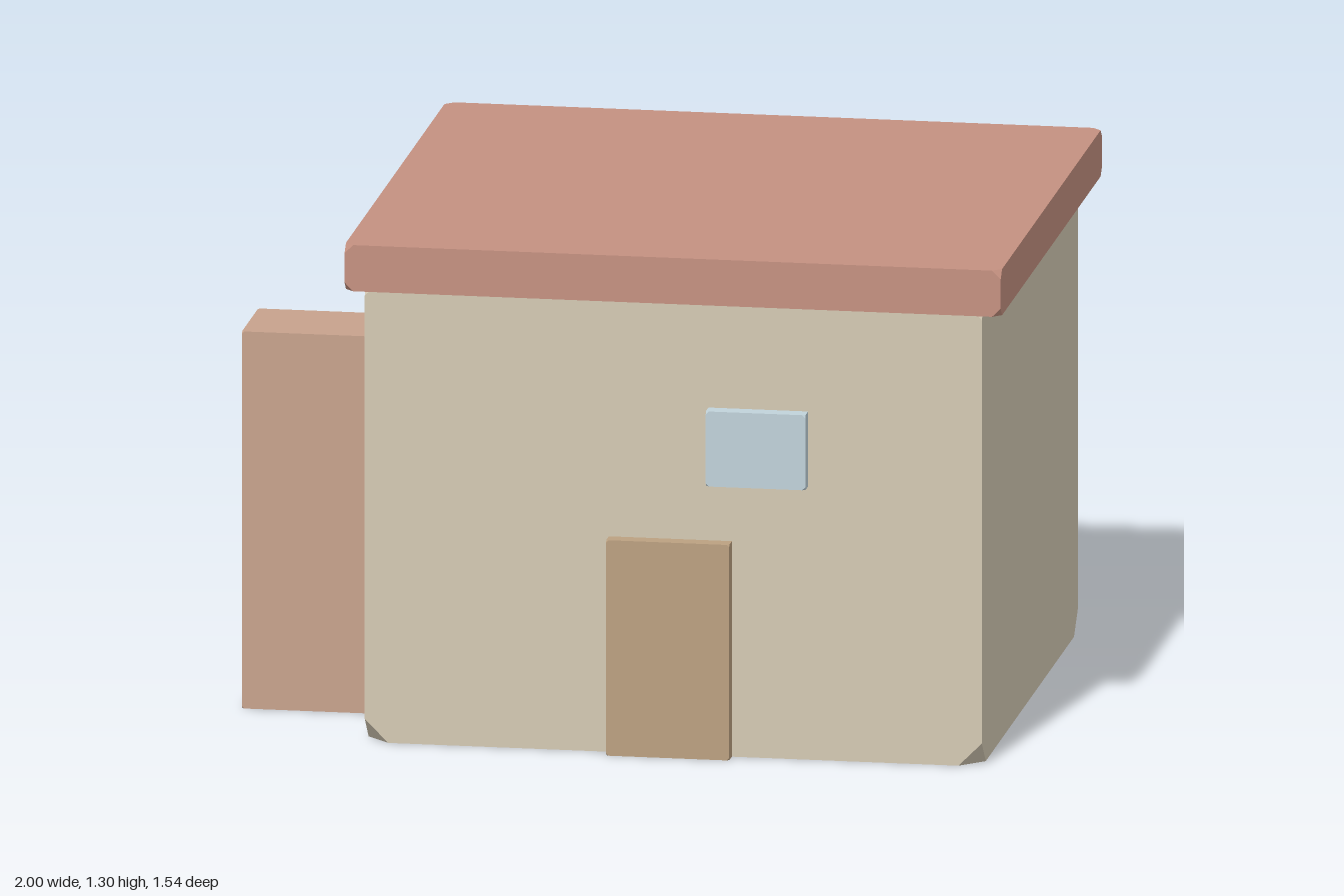
import * as THREE from 'three';
import { ConvexGeometry } from 'three/addons/geometries/ConvexGeometry.js';

// Box between two corners with each of its eight vertices cut off by c
function clippedBox(min, max, c) {
  const points = [];
  for (let i = 0; i < 8; i++) {
    const side = [i & 1, (i >> 1) & 1, (i >> 2) & 1];
    const corner = side.map((s, a) => (s ? max[a] : min[a]));
    for (let a = 0; a < 3; a++) {
      const p = [...corner];
      p[a] += side[a] ? -c : c;
      points.push(new THREE.Vector3(...p));
    }
  }
  return new ConvexGeometry(points);
}

export function createModel() {
  const model = new THREE.Group();
  model.name = 'house';

  const paint = (color) => new THREE.MeshStandardMaterial({ color, flatShading: true });
  const add = (parent, name, material, min, max, c) => {
    const mesh = new THREE.Mesh(clippedBox(min, max, c), material);
    mesh.name = name;
    parent.add(mesh);
  };

  // Walls run a little way up into the roof slab
  add(model, 'walls', paint(0xd4c9b3), [-0.635, 0, -0.73], [0.945, 1.22, 0.73], 0.06);
  add(model, 'roof', paint(0xc49080), [-0.68, 1.18, -0.77], [1, 1.3, 0.77], 0.022);

  // Door and window stand proud of the front wall
  add(model, 'door', paint(0xbba080), [-0.01, 0, 0.69], [0.305, 0.56, 0.772], 0.006);
  add(model, 'window', paint(0xc0d2da), [0.245, 0.71, 0.69], [0.5, 0.905, 0.772], 0.008);

  // Outside stairs climb from back to front along the right wall
  const stairs = new THREE.Group();
  stairs.name = 'stairs';
  model.add(stairs);
  const stairPaint = paint(0xc7a28c);
  const run = 0.2475;
  for (let i = 0; i < 4; i++) {
    const z = -0.56 + i * run;
    add(stairs, `step${i + 1}`, stairPaint,
      [-1, 0, z], [-0.63, 0.185 + i * 0.265, z + run], 0.006);
  }

  return model;
}
